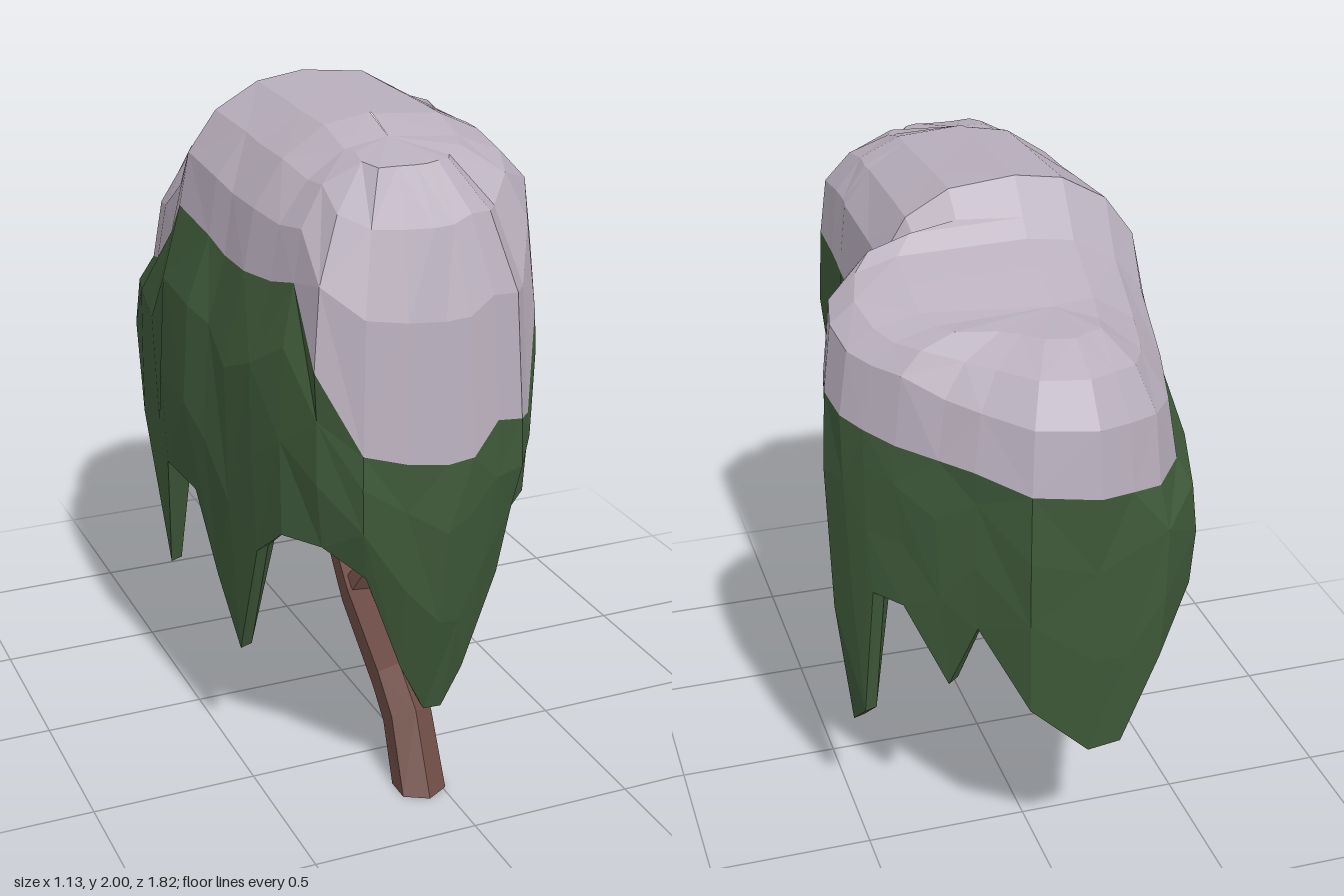
import * as THREE from 'three';

// Canopy columns around the tree, from the front via +x: [x, z, snow line height, hem height]
const COLUMNS = [
  [-0.06, 0.90, 1.11, 0.28], [0.02, 0.90, 1.12, 0.28], [0.10, 0.88, 1.21, 0.40], [0.19, 0.85, 1.19, 0.70],
  [0.25, 0.77, 1.17, 0.87], [0.31, 0.68, 1.44, 0.88], [0.36, 0.54, 1.62, 0.79], [0.36, 0.39, 1.61, 0.37],
  [0.36, 0.32, 1.60, 0.60], [0.36, 0.28, 1.59, 0.97], [0.36, 0.00, 1.55, 1.04], [0.36, -0.14, 1.53, 1.06],
  [0.34, -0.20, 1.50, 0.90], [0.48, -0.22, 1.51, 0.70], [0.54, -0.26, 1.50, 0.41], [0.56, -0.36, 1.50, 0.37],
  [0.54, -0.46, 1.47, 0.46], [0.49, -0.53, 1.45, 0.92], [0.42, -0.61, 1.43, 0.91], [0.32, -0.69, 1.41, 0.66],
  [0.24, -0.77, 1.40, 0.89], [0.11, -0.88, 1.36, 0.64], [-0.08, -0.91, 1.34, 0.48], [-0.20, -0.89, 1.32, 0.48],
  [-0.32, -0.85, 1.30, 0.74], [-0.46, -0.70, 1.30, 0.89], [-0.53, -0.46, 1.36, 0.84], [-0.55, -0.26, 1.50, 0.38],
  [-0.56, -0.14, 1.62, 0.79], [-0.55, 0.10, 1.59, 0.79], [-0.54, 0.21, 1.56, 0.55], [-0.54, 0.37, 1.56, 0.37],
  [-0.51, 0.52, 1.57, 0.76], [-0.48, 0.67, 1.60, 0.87], [-0.42, 0.81, 1.40, 0.87], [-0.31, 0.89, 1.17, 0.78],
  [-0.18, 0.90, 1.13, 0.45],
];
const RIDGE = [[-0.5, 1.74], [-0.26, 1.85], [-0.14, 2.0], [0.39, 1.98], [0.5, 1.94]]; // [z, y]

const { lerp, clamp } = THREE.MathUtils;
const noise = (n) => { const s = Math.sin(n * 12.9898) * 43758.5453; return s - Math.floor(s) - 0.5; };

function ridgeHeight(z) {
  const i = Math.max(1, RIDGE.findIndex((p) => z <= p[0]));
  const [z0, y0] = RIDGE[i - 1], [z1, y1] = RIDGE[i];
  return lerp(y0, y1, (z - z0) / (z1 - z0));
}

// Ridge point that a column leans towards
function spine([, z]) {
  const along = clamp(z, -0.5, 0.5);
  return new THREE.Vector3(-0.07, ridgeHeight(along), along);
}

// Column position moved outwards by a distance, at height y
function place(col, offset, y) {
  const s = spine(col);
  const dx = col[0] - s.x, dz = col[1] - s.z;
  const k = 1 + offset / Math.hypot(dx, dz);
  return new THREE.Vector3(s.x + dx * k, y, s.z + dz * k);
}

// Faceted skin over rings of points, optionally closed at either end
function skin(rings, capStart, capEnd) {
  const n = rings[0].length, index = [];
  for (let r = 0; r + 1 < rings.length; r++) {
    for (let i = 0; i < n; i++) {
      const a = r * n + i, b = r * n + (i + 1) % n;
      if ((i + r) % 2) index.push(a, b, b + n, a, b + n, a + n);
      else index.push(a, b, a + n, b, b + n, a + n);
    }
  }
  const cap = (r, flip) => {
    const outline = rings[r].map((p) => new THREE.Vector2(p.x, -p.z));
    for (const [a, b, c] of THREE.ShapeUtils.triangulateShape(outline, [])) {
      if (flip) index.push(r * n + a, r * n + c, r * n + b);
      else index.push(r * n + a, r * n + b, r * n + c);
    }
  };
  if (capStart) cap(0, true);
  if (capEnd) cap(rings.length - 1, false);
  const indexed = new THREE.BufferGeometry().setFromPoints(rings.flat());
  indexed.setIndex(index);
  const geometry = indexed.toNonIndexed();
  geometry.computeVertexNormals();
  return geometry;
}

// Tapered six-sided limb through [x, y, z, radius] points
function limb(path, upright) {
  const pts = path.map((p) => new THREE.Vector3(p[0], p[1], p[2]));
  const up = new THREE.Vector3(0, 1, 0);
  const rings = pts.map((p, i) => {
    const dir = pts[Math.min(i + 1, pts.length - 1)].clone().sub(pts[Math.max(i - 1, 0)]).normalize();
    if (upright && i === 0) dir.copy(up);
    const q = new THREE.Quaternion().setFromUnitVectors(up, dir);
    return Array.from({ length: 6 }, (_, k) => {
      const a = (k / 6) * Math.PI * 2, r = path[i][3];
      return new THREE.Vector3(Math.sin(a) * r, 0, Math.cos(a) * r).applyQuaternion(q).add(p);
    });
  });
  return skin(rings, true, true);
}

export function createModel() {
  const model = new THREE.Group();
  const material = (name, color) => {
    const m = new THREE.MeshStandardMaterial({ color });
    m.name = name;
    return m;
  };
  const bark = material('bark brown', 0x6e4c45);
  const leaf = material('leaf green', 0x3f5a3a);
  const snow = material('snow lilac', 0xb8aebc);
  const add = (name, geometry, mat) => {
    const mesh = new THREE.Mesh(geometry, mat);
    mesh.name = name;
    model.add(mesh);
  };

  // Leaning trunk and its branches
  add('trunk', limb([
    [-0.06, 0, 0.74, 0.08], [-0.05, 0.18, 0.63, 0.075], [-0.05, 0.26, 0.53, 0.07], [-0.02, 0.39, 0.21, 0.066],
    [0, 0.61, -0.1, 0.048], [0, 0.78, -0.24, 0.048], [-0.03, 0.93, -0.55, 0.037], [-0.05, 1.2, -0.66, 0.02],
  ], true), bark);
  add('lowBranch', limb([[-0.02, 0.4, 0.2, 0.06], [0.03, 0.6, 0.31, 0.042], [0.06, 1.22, 0.36, 0.03]]), bark);
  add('middleBranch', limb([[0, 0.78, -0.23, 0.048], [0.13, 0.92, -0.17, 0.05], [0.19, 1.22, -0.07, 0.04]]), bark);
  add('leftBranch', limb([[0, 0.78, -0.23, 0.04], [-0.14, 0.95, -0.24, 0.035], [-0.24, 1.22, -0.28, 0.025]]), bark);

  // Hollow curtain of drooping leaves, from the ceiling inside, round the hem, up to the snow line
  const ring = (fn) => COLUMNS.map(fn);
  const hemInset = (c) => (c[1] > 0.7 ? -0.15 : -0.07) * (1.15 - c[3]);
  const snowInset = (c) => (c[0] < -0.15 && c[1] < 0.75 ? 0.16 * c[0] : 0);
  const snowLine = ring((c) => place(c, snowInset(c), c[2]));
  const foliage = [
    ring((c) => place(c, -0.16, 1.2)),
    ring((c) => place(c, -0.13, lerp(c[3], 1.13, 0.6))),
    ring((c) => place(c, hemInset(c) - 0.035, c[3] + 0.01)),
    ring((c) => place(c, hemInset(c), c[3])),
    ring((c, i) => place(c, hemInset(c) * 0.35 + 0.03 * noise(i + 1), lerp(c[3], c[2], 0.42 + 0.12 * noise(i + 50)))),
    ring((c, i) => place(c, snowInset(c) * 0.3 + 0.025 * noise(i + 90), lerp(c[3], c[2], 0.76 + 0.1 * noise(i + 130)))),
    snowLine,
  ];
  add('foliage', skin(foliage, true, false), leaf);

  // Snow dome rounding over to the ridge, with boxier shoulders on the side lobe
  const boxiness = (x) => (x > 0.4 ? 0.45 : x > 0.3 ? 0.7 : x > -0.4 ? 0.8 : 0.95);
  const dome = [0.42, 0.82, 1.22].map((t, k) => ring((c, i) => {
    const s = spine(c), edge = snowLine[i], power = boxiness(c[0]);
    const wobble = 0.025 * noise(i + 40 * k + 7);
    const out = Math.cos(t) ** power + wobble;
    const rise = Math.sin(t) ** power;
    return new THREE.Vector3(lerp(s.x, edge.x, out), lerp(edge.y, s.y, rise), lerp(s.z, edge.z, out));
  }));
  add('snowCap', skin([snowLine, ...dome, ring(spine)], false, false), snow);
  return model;
}
